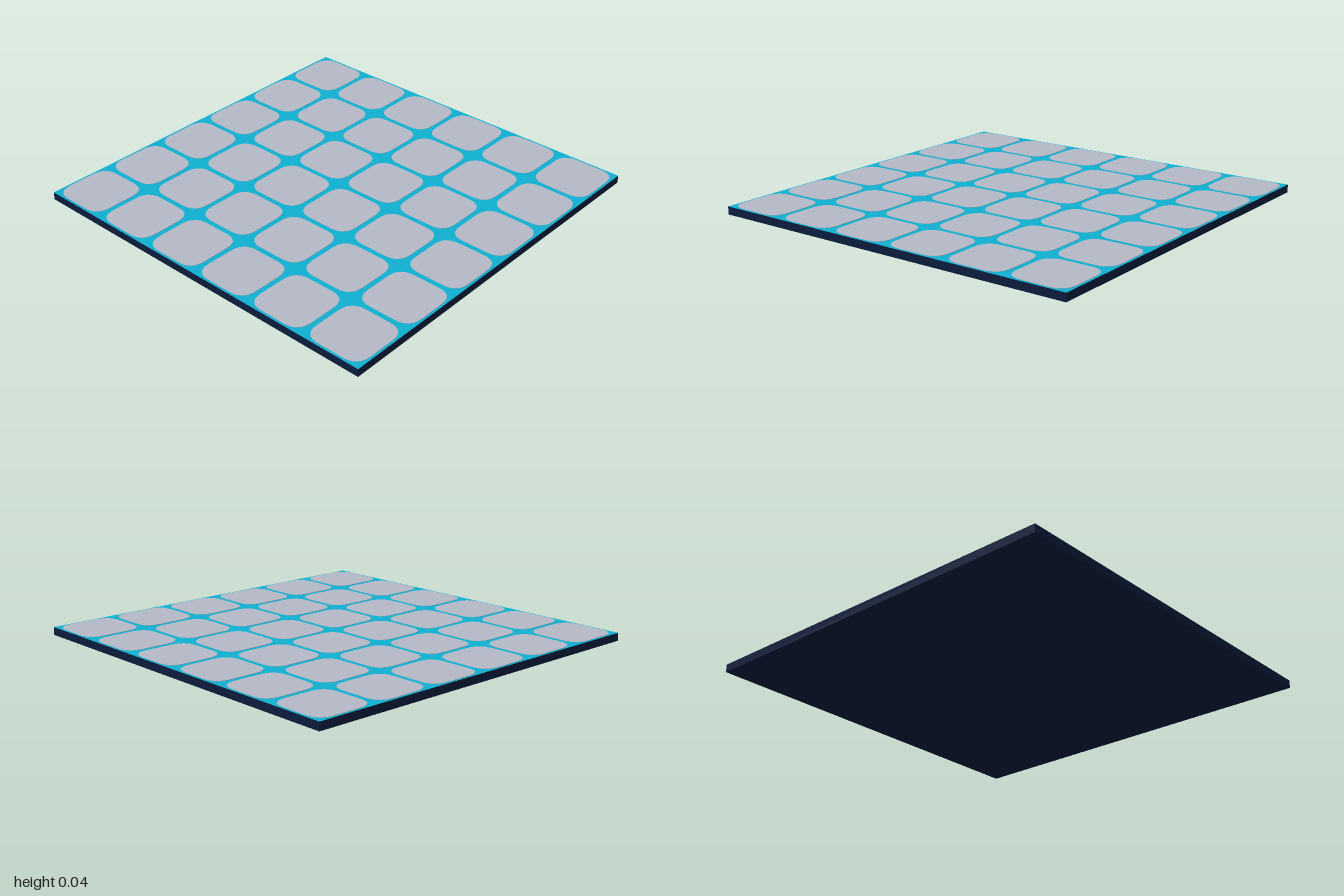
import * as THREE from 'three';

const HEIGHT = 0.043;

// Rounded square outline centred on the origin
function roundedSquare(size, r) {
  const h = size / 2, s = new THREE.Shape();
  s.moveTo(-h + r, -h);
  s.lineTo(h - r, -h);
  s.quadraticCurveTo(h, -h, h, -h + r);
  s.lineTo(h, h - r);
  s.quadraticCurveTo(h, h, h - r, h);
  s.lineTo(-h + r, h);
  s.quadraticCurveTo(-h, h, -h, h - r);
  s.lineTo(-h, -h + r);
  s.quadraticCurveTo(-h, -h, -h + r, -h);
  return s;
}

export function createModel() {
  const navy = new THREE.MeshStandardMaterial({ color: 0x0b1b3b });
  navy.name = 'navy';
  const cyan = new THREE.MeshStandardMaterial({ color: 0x0fb0d2 });
  cyan.name = 'cyan';
  const grey = new THREE.MeshStandardMaterial({ color: 0xb3b9c6 });
  grey.name = 'grey';

  const group = new THREE.Group();
  group.name = 'tiledFloorPanel';

  // Slab: navy sides and underside, cyan grout on the top face
  const slabHeight = HEIGHT - 0.002;
  const slab = new THREE.Mesh(
    new THREE.BoxGeometry(2, slabHeight, 2),
    [navy, navy, cyan, navy, navy, navy]
  );
  slab.name = 'slab';
  slab.position.y = slabHeight / 2;
  group.add(slab);

  // Six by six grid of thin rounded tiles
  const tileGeometry = new THREE.ExtrudeGeometry(roundedSquare(0.306, 0.085), {
    depth: 0.002, bevelEnabled: false, curveSegments: 8
  });
  tileGeometry.rotateX(-Math.PI / 2);
  const tiles = new THREE.Group();
  tiles.name = 'tiles';
  const pitch = 0.334;
  for (let row = 0; row < 6; row++) {
    for (let col = 0; col < 6; col++) {
      const tile = new THREE.Mesh(tileGeometry, grey);
      tile.name = 'tile';
      tile.position.set((col - 2.5) * pitch, slabHeight, (row - 2.5) * pitch);
      tiles.add(tile);
    }
  }
  group.add(tiles);
  return group;
}
